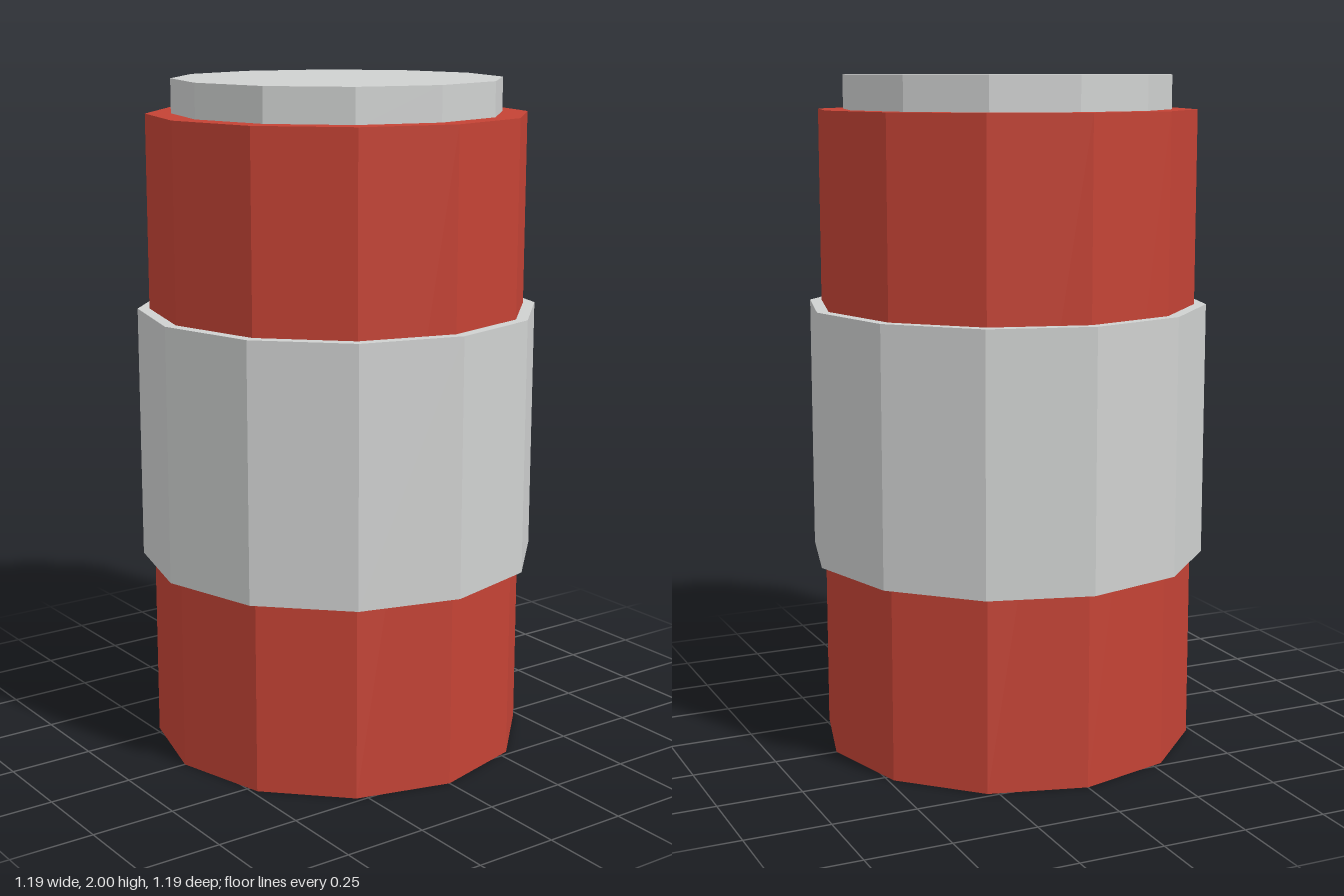
import * as THREE from 'three';

const SIDES = 12;

export function createModel() {
  const red = new THREE.MeshStandardMaterial({ color: 0xc44335 });
  red.name = 'red';
  const grey = new THREE.MeshStandardMaterial({ color: 0xcfd1d0 });
  grey.name = 'lightGrey';
  red.flatShading = grey.flatShading = true;

  const group = new THREE.Group();
  group.name = 'canister';

  // Upright twelve-sided drum between two heights
  const drum = (name, radius, bottom, top, material) => {
    const geometry = new THREE.CylinderGeometry(radius, radius, top - bottom, SIDES);
    const mesh = new THREE.Mesh(geometry, material);
    mesh.name = name;
    mesh.position.y = (bottom + top) / 2;
    group.add(mesh);
  };

  drum('body', 0.56, 0, 1.9, red);
  drum('labelBand', 0.595, 0.575, 1.33, grey);
  drum('lid', 0.485, 1.89, 2, grey);

  return group;
}
